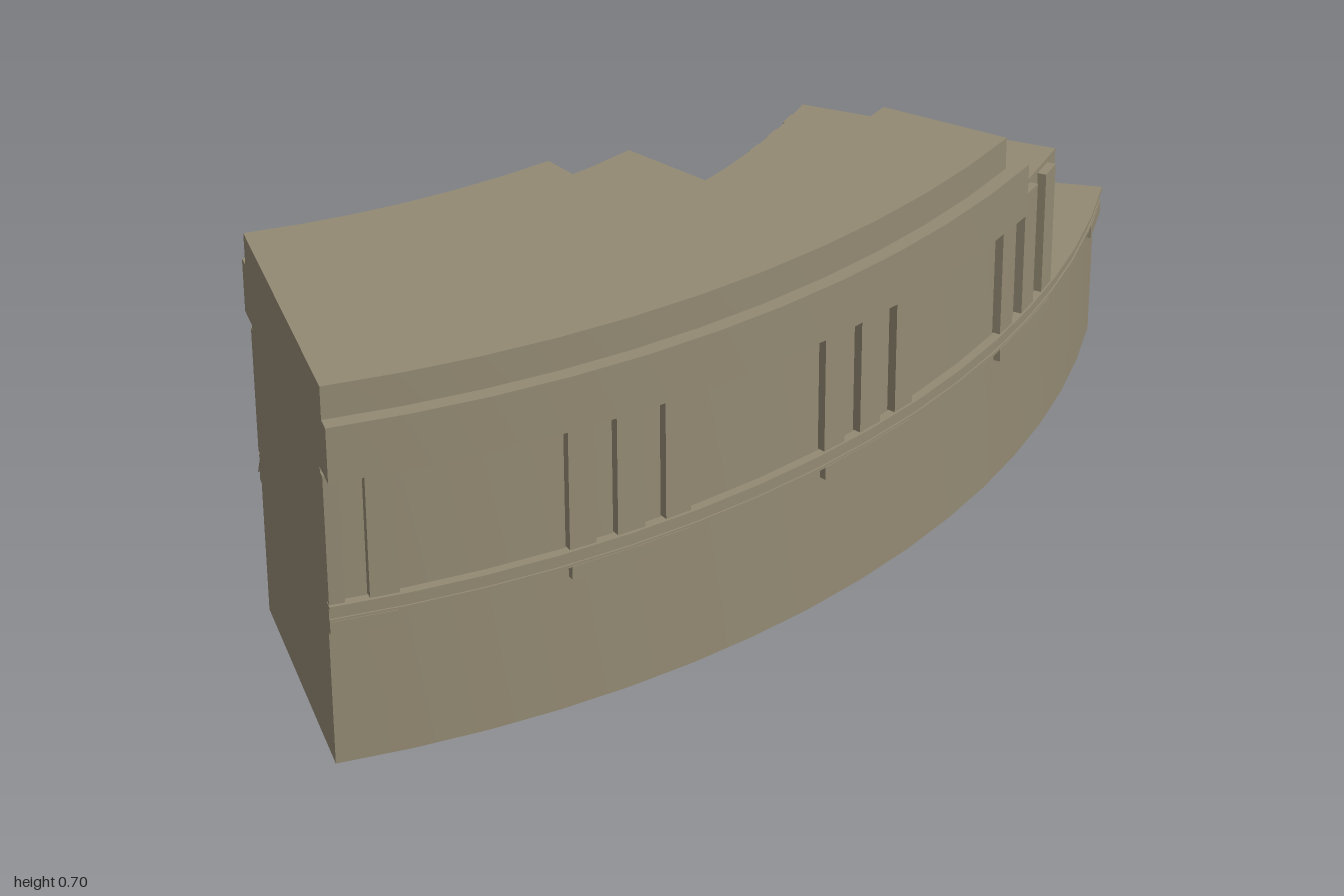
import * as THREE from 'three';
import { toCreasedNormals } from 'three/addons/utils/BufferGeometryUtils.js';

// Common centre of all arcs; the plan is a 60 degree ring sector
const CX = -1.633, CZ = -0.01;
const RAD = Math.PI / 180;
const R_IN = 1.487, R_OUT = 1.97;

const stone = new THREE.MeshStandardMaterial({ color: 0x938a73, side: THREE.DoubleSide });
stone.name = 'sandstone';

function arcPoint(r, deg) {
  return [CX + r * Math.cos(deg * RAD), CZ + r * Math.sin(deg * RAD)];
}

// Solid ring sector between two radii, two angles (positive towards +z) and two heights
function sector(name, r0, r1, a0, a1, y0, y1) {
  const n = Math.max(1, Math.round((a1 - a0) / 3.75));
  const pts = [];
  for (let i = 0; i <= n; i++) pts.push(arcPoint(r1, a0 + (a1 - a0) * i / n));
  for (let i = n; i >= 0; i--) pts.push(arcPoint(r0, a0 + (a1 - a0) * i / n));
  const shape = new THREE.Shape(pts.map(([x, z]) => new THREE.Vector2(x, -z)));
  const geo = new THREE.ExtrudeGeometry(shape, { depth: y1 - y0, bevelEnabled: false });
  geo.rotateX(-Math.PI / 2);
  geo.translate(0, y0, 0);
  const mesh = new THREE.Mesh(toCreasedNormals(geo, 0.5), stone);
  mesh.name = name;
  return mesh;
}

// Sloped shelf filling the hollow between the inner arc and its chord
function innerShelf() {
  const pos = [], idx = [], n = 24;
  for (let i = 0; i <= n; i++) {
    const [x, z] = arcPoint(R_IN, -30 + 60 * i / n);
    pos.push(-0.353, 0.265, z, Math.min(x, -0.312), 0.298, z, x, 0.285, z);
    if (i === n) break;
    for (let k = 0; k < 2; k++) {
      const a = i * 3 + k;
      idx.push(a, a + 3, a + 1, a + 1, a + 3, a + 4);
    }
  }
  const geo = new THREE.BufferGeometry();
  geo.setAttribute('position', new THREE.Float32BufferAttribute(pos, 3));
  geo.setIndex(idx);
  geo.computeVertexNormals();
  const mesh = new THREE.Mesh(geo, stone);
  mesh.name = 'innerShelf';
  return mesh;
}

export function createModel() {
  const model = new THREE.Group();
  model.name = 'curvedArcadeSection';

  // Lower storey and the wall above it, stepping back at the broken end
  model.add(sector('base', R_IN, R_OUT, -30, 30, 0, 0.298));
  model.add(sector('upperWall', R_IN, R_OUT - 0.003, -19.5, 30, 0.298, 0.545));
  model.add(innerShelf());

  // String course: a body with two thin projecting fillets
  model.add(sector('stringCourse', R_IN - 0.004, R_OUT + 0.008, -30, 30, 0.273, 0.295));
  model.add(sector('stringFilletTop', R_IN - 0.009, R_OUT + 0.014, -30, 30, 0.294, 0.301));
  model.add(sector('stringFilletBottom', R_IN - 0.008, R_OUT + 0.011, -30, 30, 0.27, 0.276));

  // Cornice and attic: the outer strip runs further than the inner one
  model.add(sector('corniceOuter', 1.73, 2.023, -11.8, 30, 0.545, 0.642));
  model.add(sector('corniceInner', 1.435, 1.73, 0, 30, 0.545, 0.642));
  model.add(sector('atticOuter', 1.758, 1.996, -10.8, 30, 0.642, 0.7));
  model.add(sector('atticInner', 1.46, 1.758, 8.2, 30, 0.642, 0.7));

  // Pilaster clusters on both faces, each over a small bracket
  const faces = [['outer', R_OUT - 0.02, R_OUT + 0.012], ['inner', R_IN - 0.011, R_IN + 0.02]];
  for (const [side, r0, r1] of faces) {
    for (const centre of [-30, -15, 0, 15, 30]) {
      const b0 = Math.max(-30, centre - 3.2), b1 = Math.min(30, centre + 3.2);
      model.add(sector(side + 'Bracket', r0, r1, b0, b1, 0.248, 0.272));
      if (centre < -20) continue;
      for (const [off, half] of [[-2.6, 0.7], [0, 0.75], [2.6, 0.7]]) {
        const a0 = centre + off - half, a1 = Math.min(30, centre + off + half);
        if (a0 < 30) model.add(sector(side + 'Pilaster', r0, r1, a0, a1, 0.304, 0.536));
      }
    }
  }
  return model;
}
